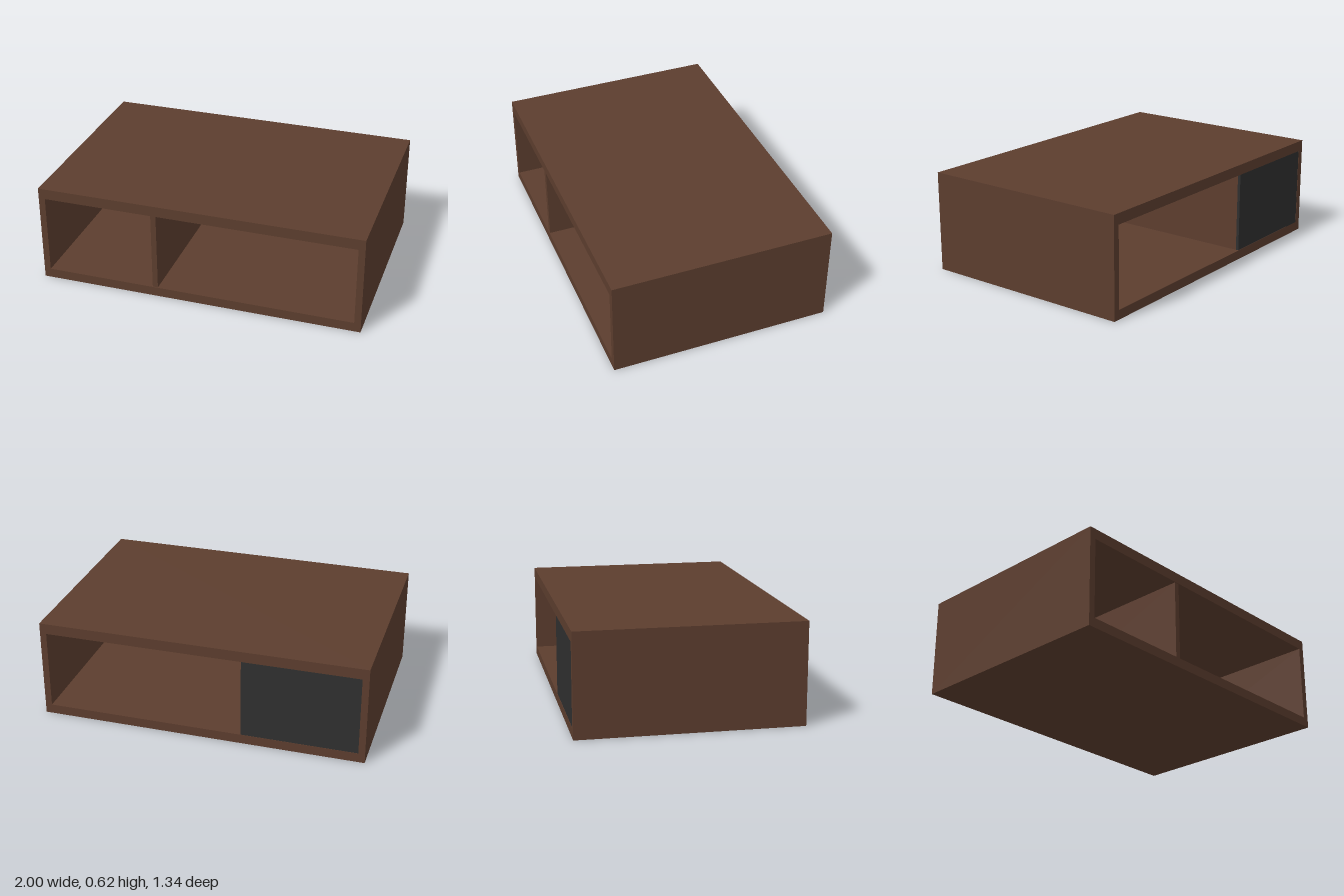
import * as THREE from 'three';

const W = 1, H = 0.615, D = 1.34;            // half width, height, depth
const IX = 0.96, Y0 = 0.058, Y1 = 0.55;      // inner opening

export function createModel() {
  const group = new THREE.Group();
  group.name = 'openCabinet';

  const wood = new THREE.MeshStandardMaterial({ color: 0x5c3d2e });
  wood.name = 'brownWood';
  const dark = new THREE.MeshStandardMaterial({ color: 0x2f2f2f });
  dark.name = 'darkPanel';

  // Mitred board: a trapezoid in x/y, running the full depth
  const board = (name, corners) => {
    const shape = new THREE.Shape(corners.map(([x, y]) => new THREE.Vector2(x, y)));
    const geometry = new THREE.ExtrudeGeometry(shape, { depth: D, bevelEnabled: false });
    geometry.translate(0, 0, -D / 2);
    const mesh = new THREE.Mesh(geometry, wood);
    mesh.name = name;
    group.add(mesh);
  };
  board('topBoard', [[-IX, Y1], [IX, Y1], [W, H], [-W, H]]);
  board('bottomBoard', [[-W, 0], [W, 0], [IX, Y0], [-IX, Y0]]);
  board('leftSide', [[W, 0], [W, H], [IX, Y1], [IX, Y0]]);
  board('rightSide', [[-W, 0], [-IX, Y0], [-IX, Y1], [-W, H]]);

  // Box given by its minimum and maximum corners
  const box = (name, material, [x0, y0, z0], [x1, y1, z1]) => {
    const mesh = new THREE.Mesh(new THREE.BoxGeometry(x1 - x0, y1 - y0, z1 - z0), material);
    mesh.position.set((x0 + x1) / 2, (y0 + y1) / 2, (z0 + z1) / 2);
    mesh.name = name;
    group.add(mesh);
  };
  // Divider between the two compartments
  box('divider', wood, [-0.285, Y0, -0.65], [-0.252, Y1, 0.665]);
  // Panel closing the back of the small compartment
  box('backPanel', dark, [-IX, Y0, -0.668], [-0.252, Y1, -0.65]);

  return group;
}
